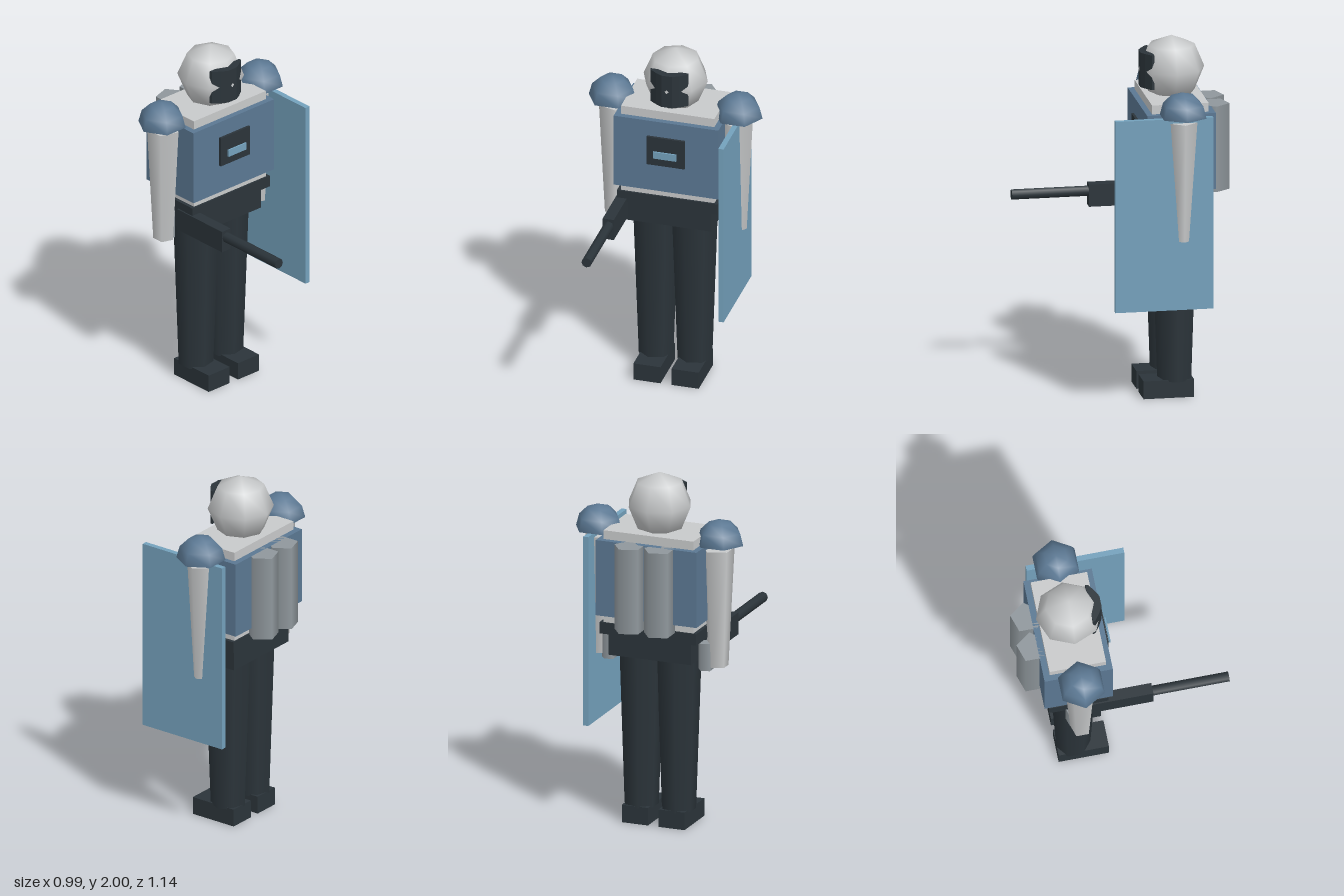
import * as THREE from 'three';

const mat = (name, color) => {
  const m = new THREE.MeshStandardMaterial({ color });
  m.name = name;
  return m;
};

export function createModel() {
  const light = mat('light grey', 0xc8cacb);
  const grey = mat('grey', 0x8f979c);
  const dark = mat('charcoal', 0x2b343a);
  const blue = mat('steel blue', 0x5b7893);
  const sky = mat('light blue', 0x74a1bc);

  const model = new THREE.Group();
  const Z = -0.27; // body centre plane

  const add = (name, geo, material, x, y, z) => {
    const mesh = new THREE.Mesh(geo, material);
    mesh.name = name;
    mesh.position.set(x, y, z);
    model.add(mesh);
    return mesh;
  };
  // Box given by its limits on each axis
  const box = (name, m, x0, x1, y0, y1, z0, z1) =>
    add(name, new THREE.BoxGeometry(x1 - x0, y1 - y0, z1 - z0), m,
      (x0 + x1) / 2, (y0 + y1) / 2, (z0 + z1) / 2);
  // Upright prism with one corner towards +x
  const post = (name, m, rTop, rBottom, y0, y1, sides, x, z) =>
    add(name, new THREE.CylinderGeometry(rTop, rBottom, y1 - y0, sides, 1, false, Math.PI / 2),
      m, x, (y0 + y1) / 2, z);

  // Head
  add('head', new THREE.SphereGeometry(0.182, 8, 4), light, 0, 1.818, Z);

  // Visor: curved block that the head partly breaks through
  const outline = [[-0.11, -0.157], [-0.107, -0.143], [-0.065, -0.112], [-0.03, -0.093],
    [0.03, -0.093], [0.065, -0.112], [0.107, -0.143], [0.107, -0.157]];
  const visorShape = new THREE.Shape(outline.map(([x, z]) => new THREE.Vector2(x, -z)));
  const visorGeo = new THREE.ExtrudeGeometry(visorShape, { depth: 0.195, bevelEnabled: false });
  visorGeo.rotateX(-Math.PI / 2);
  add('visor', visorGeo, dark, 0, 1.722, 0);

  // Torso
  box('undershirt', light, -0.265, 0.265, 1.155, 1.68, -0.428, -0.115);
  box('vest', blue, -0.297, 0.297, 1.2, 1.63, -0.462, -0.083);
  box('chestPanel', dark, -0.108, 0.108, 1.365, 1.537, -0.09, -0.069);
  box('chestScreen', sky, -0.066, 0.066, 1.416, 1.457, -0.06, -0.051);
  box('belt', dark, -0.285, 0.285, 1.09, 1.155, -0.436, -0.105);
  box('hips', dark, -0.243, 0.243, 0.965, 1.09, -0.41, -0.13);

  // Paired parts
  for (const [side, s] of [['left', 1], ['right', -1]]) {
    const dome = new THREE.SphereGeometry(0.135, 6, 3, 0, Math.PI * 2, 0, Math.PI / 2);
    add(side + 'ShoulderPad', dome, blue, s * 0.358, 1.636, Z);
    const cap = new THREE.CircleGeometry(0.135, 6);
    cap.rotateX(Math.PI / 2);
    add(side + 'ShoulderPadBase', cap, blue, s * 0.358, 1.636, Z);
    post(side + 'Arm', light, 0.092, 0.058, 0.935, 1.605, 5, s * 0.345, Z);
    post(side + 'Hand', grey, 0.043, 0.043, 0.915, 1.07, 5, s * 0.285, -0.3);
    post(side + 'Leg', dark, 0.127, 0.097, 0.09, 0.967, 7, s * 0.11, Z);
    box(side + 'Boot', dark, s * 0.108 - 0.077, s * 0.108 + 0.077, 0, 0.1, -0.362, -0.083);
    post(side + 'Tank', grey, 0.088, 0.088, 1.147, 1.63, 5, s * 0.0875, -0.488);
  }

  // Weapon held at the right hip
  box('weaponBody', dark, -0.293, -0.23, 0.985, 1.11, -0.22, 0.143);
  const barrel = new THREE.CylinderGeometry(0.029, 0.029, 0.437, 8);
  barrel.rotateX(Math.PI / 2);
  add('weaponBarrel', barrel, dark, -0.26, 1.068, 0.349);

  // Tall shield on the left arm
  box('shield', sky, 0.353, 0.383, 0.55, 1.63, -0.433, 0.109);

  return model;
}
